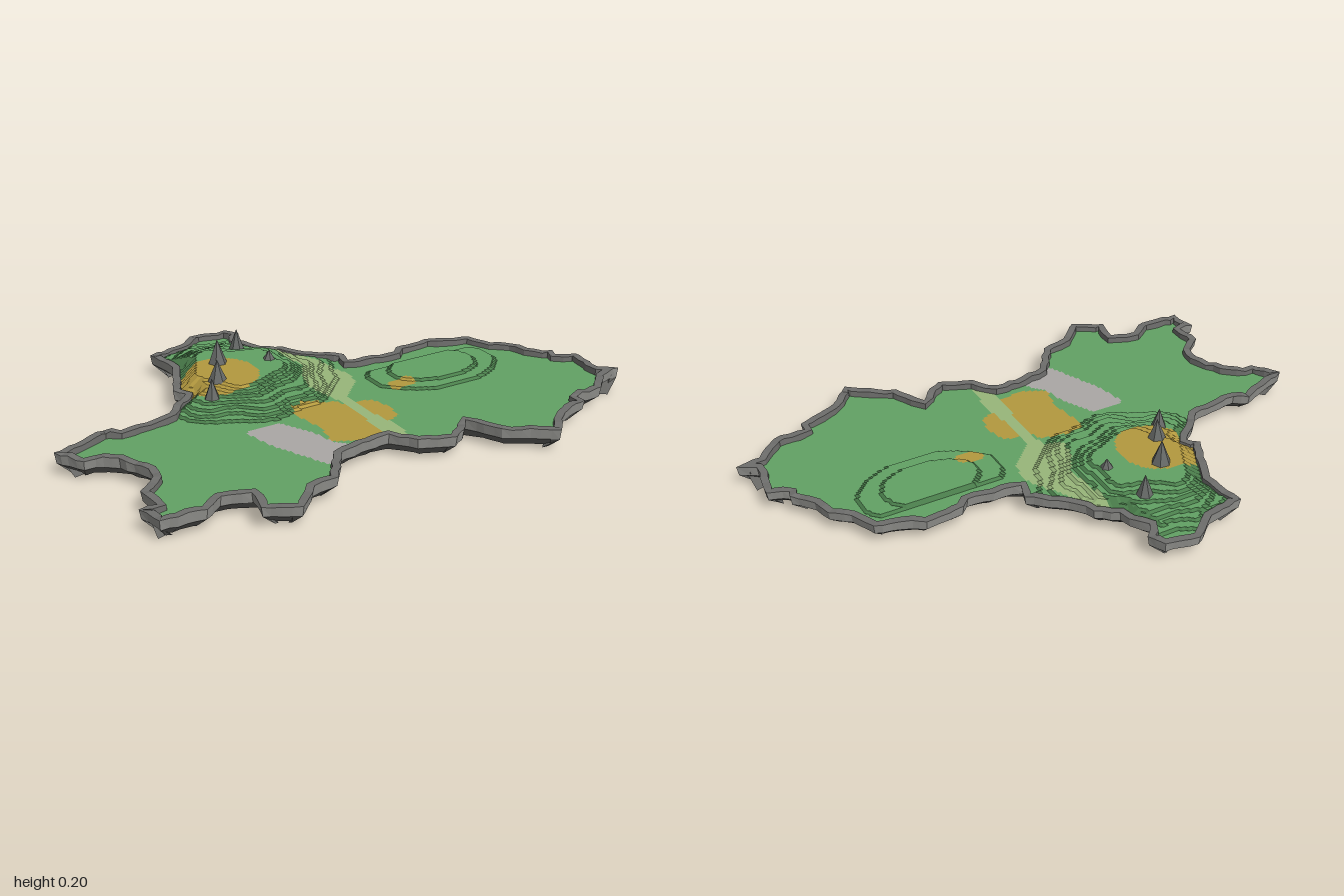
import * as THREE from 'three';

const mat = (name, color, side = THREE.DoubleSide) => {
  const m = new THREE.MeshStandardMaterial({ color, side, flatShading: true });
  m.name = name;
  return m;
};

// Island outline as x, z pairs, clockwise seen from above
const OUTLINE = [
  -1, -.02, -.8, -.1, -.75, -.07, -.56, -.1, -.52, -.15, -.44, -.22, -.47, -.26, -.38, -.45,
  -.4, -.6, -.26, -.63, -.17, -.7, -.05, -.68, -.02, -.62, -.06, -.57, -.02, -.51, -.01, -.47,
  .06, -.42, .09, -.36, .22, -.24, .2, -.18, .39, -.16, .42, -.19, .56, -.205, .6, -.18,
  .72, -.14, .76, -.05, .82, 0, .84, .07, .9, .14, .89, .17, .96, .2, .94, .35, 1, .39,
  .91, .41, .83, .49, .71, .5, .71, .54, .63, .565, .54, .62, .48, .69, .4, .63, .32, .58,
  .26, .46, .21, .52, .16, .55, .04, .5, -.02, .42, -.1, .425, -.22, .45, -.31, .58, -.41, .6,
  -.5, .69, -.61, .63, -.59, .535, -.68, .51, -.75, .56, -.9, .55, -.92, .45, -.86, .45,
  -.87, .35, -.8, .29, -.79, .235, -.84, .125, -.9, .08, -.94, .08,
];
const pairs = (a) => Array.from({ length: a.length / 2 }, (_, i) => [a[2 * i], a[2 * i + 1]]);
const outline = pairs(OUTLINE);

// Flat areas painted on the ground
const PAVING = pairs([-.39, .14, -.37, .12, -.26, .12, -.2, .24, -.18, .33, -.1, .43, -.22, .45,
  -.26, .5, -.31, .38, -.36, .27]);
const CLEARING = pairs([-.17, .04, -.1, .03, 0, .07, .01, .12, .06, .11, .11, .12, .13, .2, .12, .27,
  .06, .3, .01, .32, 0, .36, -.1, .37, -.18, .33, -.16, .22, -.18, .1]);
const PATH = pairs([-.01, -.48, .05, -.44, .08, -.32, .13, -.22, .16, -.12, .15, -.04, .09, .02,
  .045, .06, .05, .2, .07, .32, .06, .47, 0, .47, 0, .3, .015, .15, 0, .02, -.05, -.03,
  -.03, -.12, .02, -.2, .01, -.3]);

function inside(poly, x, z) {
  let hit = false;
  poly.forEach(([ax, az], i) => {
    const [bx, bz] = poly[(i + 1) % poly.length];
    if ((az > z) !== (bz > z) && x < ax + (bx - ax) * (z - az) / (bz - az)) hit = !hit;
  });
  return hit;
}

// Distance from a point to the outline
function edgeDistance(x, z) {
  let best = 9;
  outline.forEach(([ax, az], i) => {
    const [bx, bz] = outline[(i + 1) % outline.length];
    const dx = bx - ax, dz = bz - az;
    const t = Math.min(1, Math.max(0, ((x - ax) * dx + (z - az) * dz) / (dx * dx + dz * dz)));
    best = Math.min(best, Math.hypot(x - ax - t * dx, z - az - t * dz));
  });
  return best;
}

const GROUND = 0.06, STEP = 0.008;

// Terraced hill and low mound
function height(x, z) {
  const wobble = 0.012 * Math.sin(x * 31) + 0.01 * Math.sin(z * 37 + x * 12);
  const r = Math.hypot(x + .22, z + .28) + wobble;
  let rise = Math.min(.058, Math.max(0, (.39 - r) * .24));
  if (rise > 0) rise = Math.min(rise, .012 + Math.max(0, edgeDistance(x, z) - .03) * .9);
  const e = Math.hypot((x - .45) / .26, z / .17) + wobble;
  const mound = z < -.08 ? 0 : e < .68 ? 2 : e < 1 ? 1 : 0;
  return GROUND + STEP * Math.max(mound, Math.floor(rise / STEP + .2));
}

function buildTerrain(materials) {
  const C = 0.01, NX = 202, NZ = 144;
  const px = (i) => (i - NX / 2) * C, pz = (j) => (j - NZ / 2) * C;
  const buckets = materials.map(() => []);
  for (let j = 0; j < NZ; j++) for (let i = 0; i < NX; i++) {
    const x = px(i) + C / 2, z = pz(j) + C / 2;
    if (!inside(outline, x, z) || edgeDistance(x, z) < .013) continue;
    const [a, b, c, d] = [[i, j], [i, j + 1], [i + 1, j + 1], [i + 1, j]]
      .map(([u, v]) => [px(u), height(px(u), pz(v)), pz(v)]);
    const ys = [a[1], b[1], c[1], d[1]];
    const steep = Math.max(...ys) - Math.min(...ys) > .001;
    let k = steep ? 1 : 0;
    if (inside(PATH, x, z)) k = 3;
    else if (inside(CLEARING, x, z) || Math.hypot(x + .3, z + .24) < .145
      || Math.hypot((x - .27) / .055, (z - .07) / .033) < 1) k = 2;
    else if (inside(PAVING, x, z)) k = 4;
    buckets[k].push(...a, ...b, ...c, ...a, ...c, ...d);
  }
  const geo = new THREE.BufferGeometry();
  let start = 0;
  buckets.forEach((b, k) => {
    geo.addGroup(start, b.length / 3, k);
    start += b.length / 3;
  });
  geo.setAttribute('position', new THREE.Float32BufferAttribute(buckets.flat(), 3));
  geo.computeVertexNormals();
  const mesh = new THREE.Mesh(geo, materials);
  mesh.name = 'terrain';
  return mesh;
}

// Closed band between two rings of [x, y, z]
function band(name, lower, upper, material) {
  const pos = [];
  lower.forEach((a, i) => {
    const n = (i + 1) % lower.length;
    pos.push(...a, ...upper[n], ...lower[n], ...a, ...upper[i], ...upper[n]);
  });
  const geo = new THREE.BufferGeometry();
  geo.setAttribute('position', new THREE.Float32BufferAttribute(pos, 3));
  geo.computeVertexNormals();
  const mesh = new THREE.Mesh(geo, material);
  mesh.name = name;
  return mesh;
}

export function createModel() {
  const group = new THREE.Group();
  group.name = 'island';
  let seed = 7;
  const rand = () => (seed = (seed * 16807) % 2147483647) / 2147483647;

  group.add(buildTerrain([
    mat('grass', 0x62a264), mat('terraceEdge', 0x4a7d4b), mat('sand', 0xb3993f),
    mat('paleGrass', 0x98b67a), mat('paving', 0xaaa7a5),
  ]));

  // Rough rocky edge: split each outline side into short jittered pieces
  const edge = [];
  outline.forEach(([ax, az], i) => {
    const [bx, bz] = outline[(i + 1) % outline.length];
    const n = Math.max(1, Math.round(Math.hypot(bx - ax, bz - az) / .03));
    for (let k = 0; k < n; k++) {
      const t = k / n, j = k ? .008 : 0;
      edge.push([ax + (bx - ax) * t + (rand() - .5) * j, az + (bz - az) * t + (rand() - .5) * j]);
    }
  });
  // Inward direction at each edge point
  const inward = edge.map((_, i) => {
    const p = edge[(i + edge.length - 1) % edge.length], q = edge[(i + 1) % edge.length];
    const dx = q[0] - p[0], dz = q[1] - p[1], l = Math.hypot(dx, dz) || 1;
    return [-dz / l, dx / l];
  });
  const tops = edge.map(() => .077 + rand() * .008);
  const ring = (inset, y) => edge.map(([x, z], i) =>
    [x + inward[i][0] * inset, y ?? tops[i], z + inward[i][1] * inset]);

  const wall = mat('rockWall', 0x949490);
  const cap = mat('rockCap', 0x6e6e6c);
  const under = mat('rockUnderside', 0x666663);
  group.add(
    band('skirt', ring(.06, 0), ring(.006, .045), under),
    band('rimWall', ring(.006, .045), ring(0), wall),
    band('rimTop', ring(0), ring(.027), cap),
    band('rimInside', ring(.027), ring(.029, .054), cap),
  );

  // Rock spires on the hill: x, z, radius, tip height
  const spire = mat('spireRock', 0x676a68, THREE.FrontSide);
  [[-.12, -.445, .031, .18], [-.255, -.335, .037, .205], [-.08, -.27, .026, .15],
    [-.325, -.2, .034, .19], [-.39, -.115, .03, .165]].forEach(([x, z, r, tip], i) => {
    const base = height(x, z) - .006;
    const cone = new THREE.Mesh(new THREE.ConeGeometry(r, tip - base, 6), spire);
    cone.position.set(x, (tip + base) / 2, z);
    cone.rotation.y = i * .4;
    cone.name = 'spire' + (i + 1);
    group.add(cone);
  });
  return group;
}
